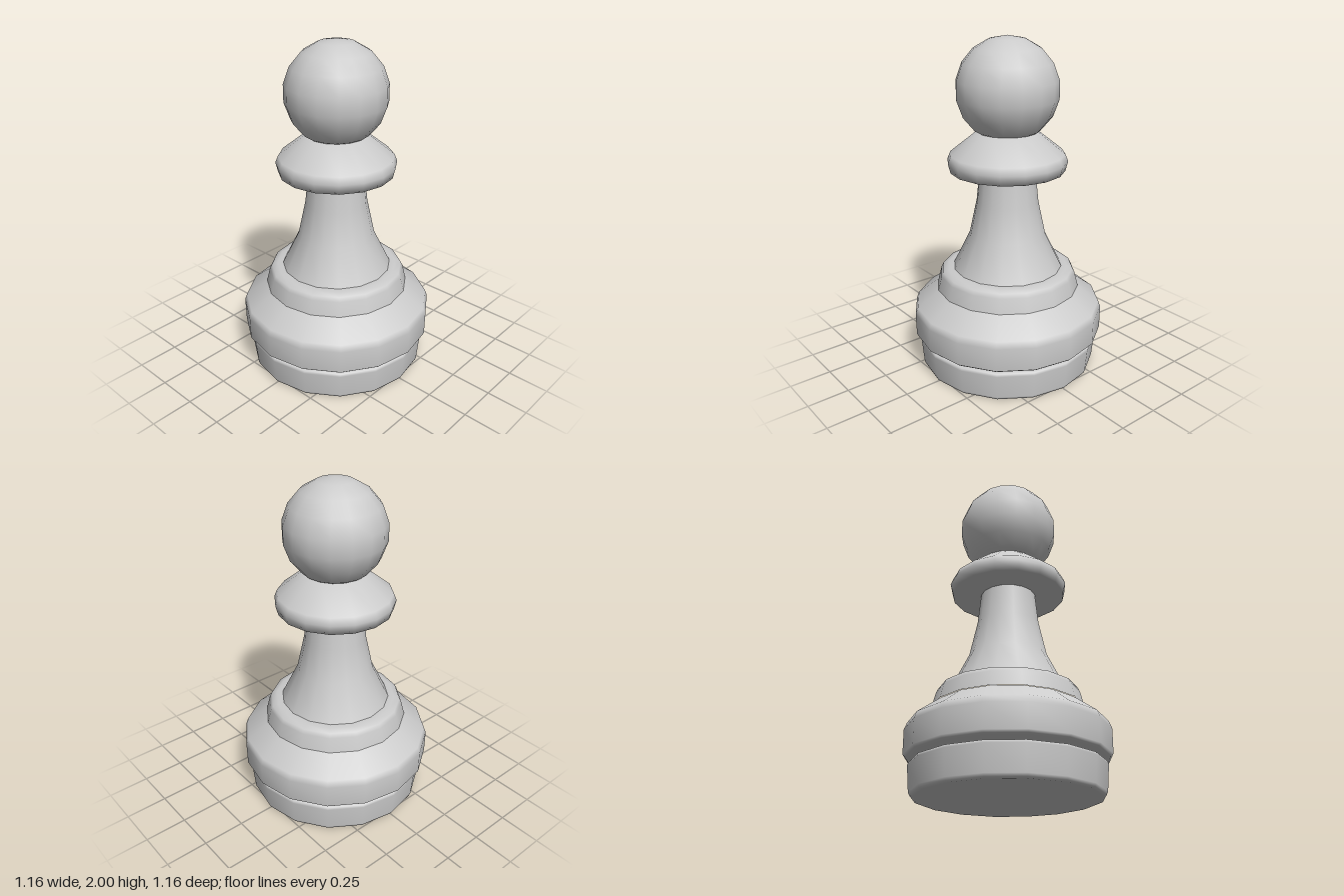
import * as THREE from 'three';

const SIDES = 16;

export function createModel() {
  const pawn = new THREE.Group();
  pawn.name = 'pawn';
  const material = new THREE.MeshStandardMaterial({ color: 0xcccccc });

  const add = (name, geometry) => {
    const mesh = new THREE.Mesh(geometry, material);
    mesh.name = name;
    pawn.add(mesh);
    return mesh;
  };
  // Turned part from [radius, height] pairs, bottom to top
  const turn = (name, profile) =>
    add(name, new THREE.LatheGeometry(profile.map(([r, y]) => new THREE.Vector2(r, y)), SIDES));

  // Flat foot with softened edges, ending in a narrow groove
  turn('foot', [[0, 0], [0.515, 0], [0.53, 0.006], [0.537, 0.022], [0.55, 0.165], [0.545, 0.18], [0.53, 0.185], [0.48, 0.192]]);

  // Wide bulging base ring
  turn('baseRing', [[0.48, 0.192], [0.54, 0.203], [0.565, 0.21], [0.578, 0.222], [0.58, 0.36], [0.565, 0.4], [0.43, 0.5]]);

  // Step between base and stem
  turn('step', [[0.435, 0.5], [0.413, 0.587], [0.4, 0.612], [0.365, 0.625], [0.325, 0.625]]);

  // Flared stem
  turn('stem', [[0.33, 0.625], [0.23, 0.83], [0.185, 1.04], [0.165, 1.235]]);

  // Collar under the head
  turn('collar', [[0.16, 1.23], [0.34, 1.23], [0.355, 1.288], [0.338, 1.33], [0.175, 1.46], [0, 1.46]]);

  // Ball head
  add('head', new THREE.SphereGeometry(0.301, SIDES, 9)).position.y = 1.699;

  return pawn;
}
